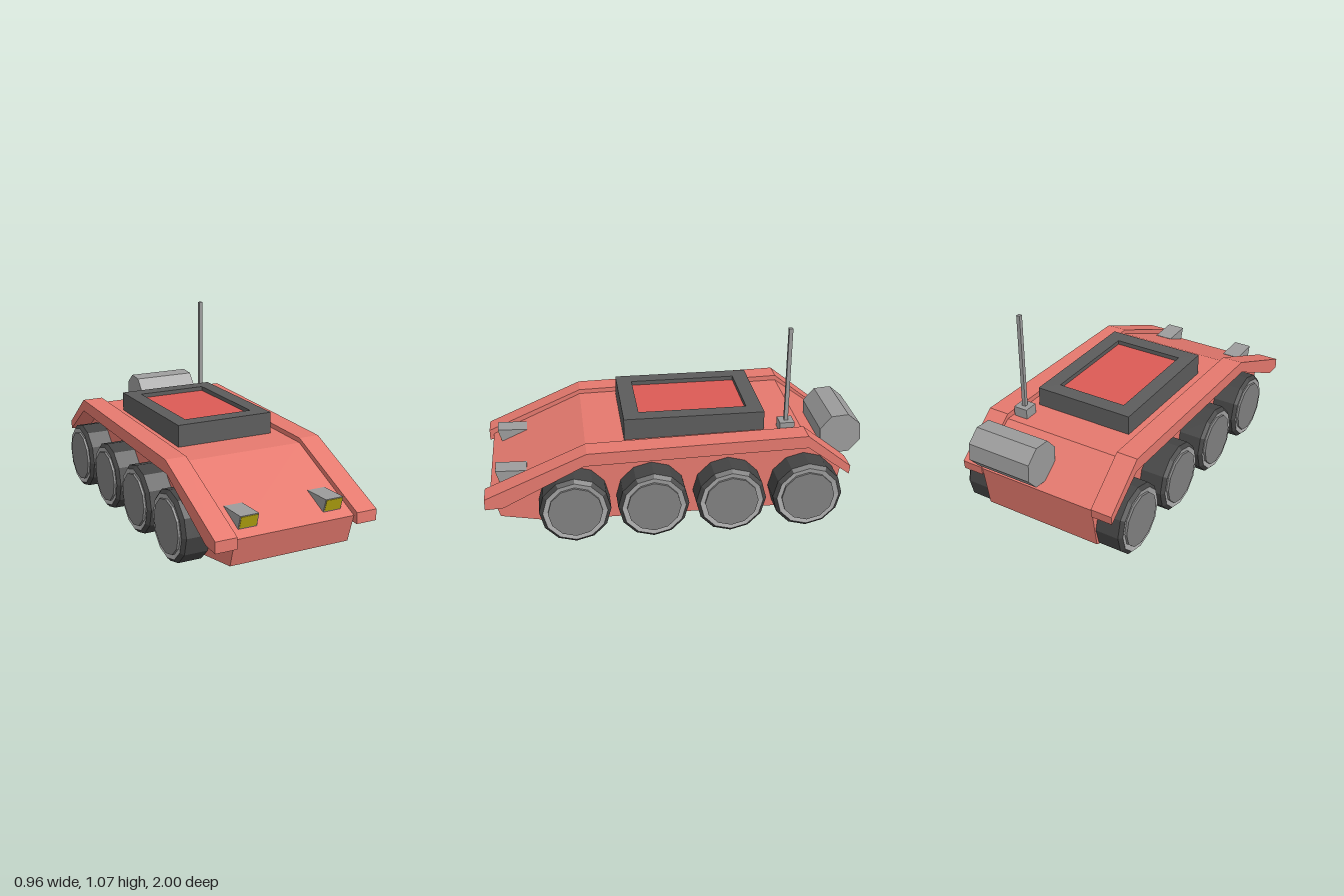
import * as THREE from 'three';

const paint = (color) => new THREE.MeshStandardMaterial({ color, flatShading: true });
const red = paint(0xe5796e);
const hatchRed = paint(0xdc5a55);
const dark = paint(0x5c5c5c);
const rubber = paint(0x444444);
const hubGrey = paint(0x808080);
const grey = paint(0x9c9c9c);
const rimGrey = paint(0xaaaaaa);
const yellow = paint(0xb8a810);

function add(parent, name, geometry, material, x = 0, y = 0, z = 0) {
  const mesh = new THREE.Mesh(geometry, material);
  mesh.name = name;
  mesh.position.set(x, y, z);
  parent.add(mesh);
  return mesh;
}

// Side outline given as [z, y] pairs, extruded from x0 to x1
function sideProfile(points, x0, x1) {
  const shape = new THREE.Shape(points.map(([z, y]) => new THREE.Vector2(-z, y)));
  const geometry = new THREE.ExtrudeGeometry(shape, { depth: x1 - x0, bevelEnabled: false });
  return geometry.rotateY(Math.PI / 2).translate(x0, 0, 0);
}

function rectangle(Type, x0, z0, x1, z1) {
  return new Type([[x0, -z0], [x1, -z0], [x1, -z1], [x0, -z1]].map(([x, y]) => new THREE.Vector2(x, y)));
}

// Lathed twelve-sided part whose axis points along side * x
function wheelPart(points, side) {
  const geometry = new THREE.LatheGeometry(points.map(([r, h]) => new THREE.Vector2(r, h)), 12);
  return geometry.rotateZ(-side * Math.PI / 2);
}

function wheel(side, z) {
  const group = new THREE.Group();
  group.name = 'wheel';
  group.position.set(side * 0.33, 0.187, z);
  add(group, 'tyre', wheelPart([[0, 0], [0.187, 0], [0.187, 0.125], [0.168, 0.142]], side), rubber);
  add(group, 'rim', wheelPart([[0.168, 0.142], [0.142, 0.136]], side), rimGrey);
  add(group, 'hubCap', wheelPart([[0.142, 0.136], [0.142, 0.148], [0, 0.148]], side), hubGrey);
  return group;
}

export function createModel() {
  const model = new THREE.Group();
  model.name = 'armouredCar';

  // Hull
  add(model, 'hull', sideProfile([
    [0.975, 0.255], [0.93, 0.105], [0.66, 0.055], [-0.77, 0.055],
    [-0.87, 0.095], [-0.91, 0.33], [-0.68, 0.503], [0.47, 0.482],
  ], -0.33, 0.33), red);

  // Fenders, wheels and headlights on both sides
  const fender = [
    [1, 0.277], [1, 0.218], [0.905, 0.223], [0.485, 0.437], [-0.685, 0.463],
    [-0.912, 0.293], [-0.917, 0.34], [-0.68, 0.531], [0.47, 0.507],
  ];
  for (const side of [-1, 1]) {
    const [x0, x1] = side > 0 ? [0.33, 0.445] : [-0.445, -0.33];
    add(model, 'fender', sideProfile(fender, x0, x1), red);
    for (let i = 0; i < 4; i++) model.add(wheel(side, 0.54 - i * 0.41));

    const lamp = new THREE.Group();
    lamp.name = 'headlight';
    lamp.position.x = side * 0.235;
    model.add(lamp);
    add(lamp, 'lampHousing', sideProfile([[0.943, 0.35], [0.922, 0.278], [0.78, 0.335], [0.78, 0.345]], -0.05, 0.05), grey);
    const lens = add(lamp, 'lampLens', new THREE.BoxGeometry(0.09, 0.064, 0.006), yellow, 0, 0.315, 0.932);
    lens.rotation.x = Math.atan2(0.021, 0.072);
  }

  // Roof hatch: raised frame with a sunken panel
  const frame = rectangle(THREE.Shape, -0.275, 0.265, 0.275, -0.48);
  frame.holes.push(rectangle(THREE.Path, -0.195, 0.18, 0.195, -0.397));
  const frameGeometry = new THREE.ExtrudeGeometry(frame, { depth: 0.125, bevelEnabled: false });
  add(model, 'hatchFrame', frameGeometry.rotateX(-Math.PI / 2), dark, 0, 0.478, 0);
  add(model, 'hatchPanel', new THREE.BoxGeometry(0.39, 0.1, 0.577), hatchRed, 0, 0.53, -0.1085);

  // Antenna
  add(model, 'antennaBase', new THREE.BoxGeometry(0.078, 0.06, 0.078), grey, 0.283, 0.525, -0.594);
  add(model, 'antennaRod', new THREE.BoxGeometry(0.02, 0.53, 0.02), grey, 0.283, 0.807, -0.594);

  // Eight-sided drum lying across the tail
  const drum = new THREE.CylinderGeometry(0.118, 0.118, 0.36, 8);
  drum.rotateZ(Math.PI / 2).rotateX(-Math.PI / 10);
  add(model, 'rearDrum', drum, grey, 0.15, 0.473, -0.885);

  return model;
}
